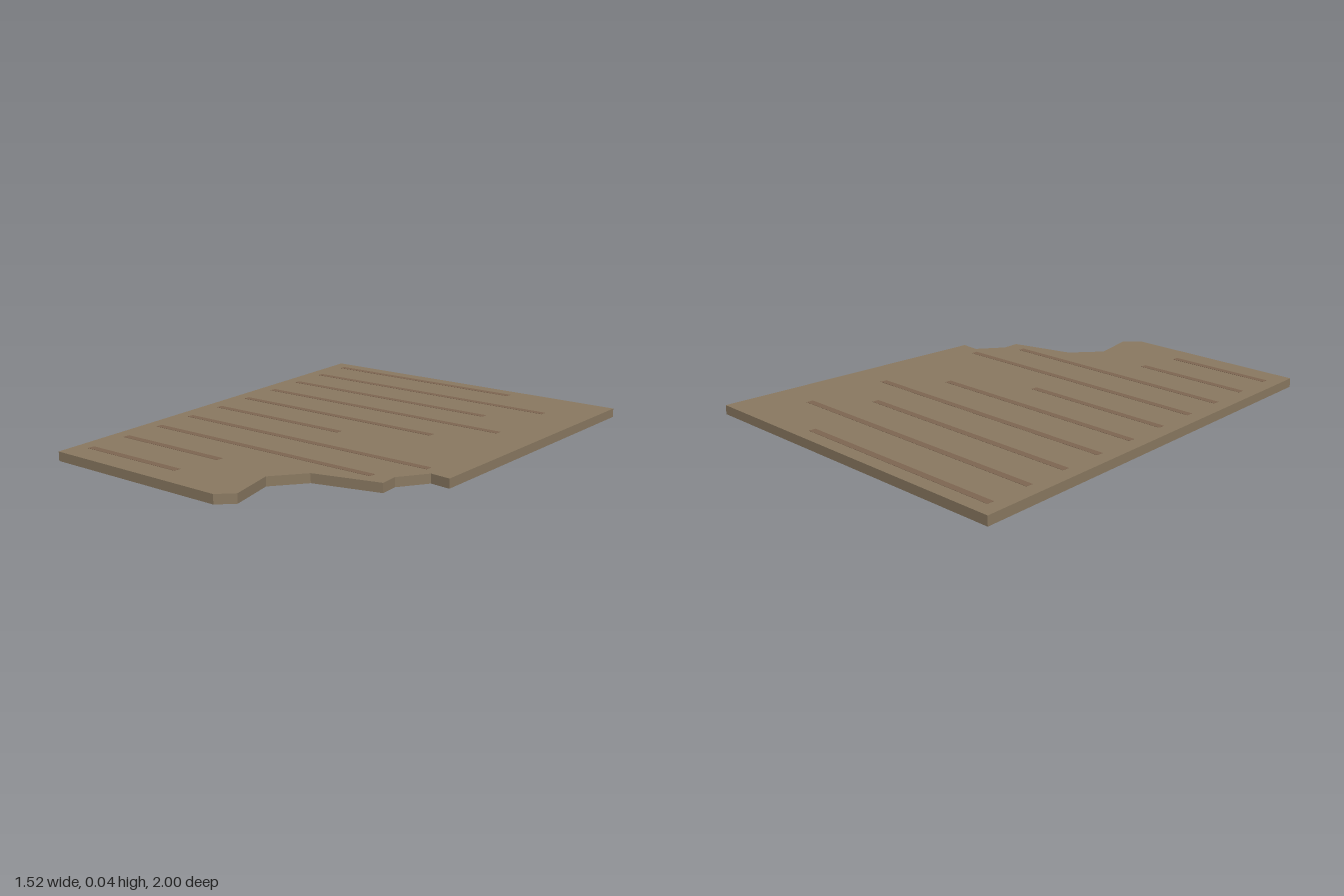
import * as THREE from 'three';

const HEIGHT = 0.04;
const PROUD = 0.001; // how far the lines stand out of each face

export function createModel() {
  const group = new THREE.Group();
  const sheetMaterial = new THREE.MeshStandardMaterial({ color: 0x8b7a62 });
  const lineMaterial = new THREE.MeshStandardMaterial({ color: 0x7f6752 });

  // Sheet outline as [x, z], with the torn front corner
  const outline = [
    [-0.762, -1], [0.76, -0.877], [0.656, 0.403], [0.571, 0.387],
    [0.485, 0.495], [0.485, 0.575], [0.206, 0.622], [0.095, 0.742],
    [0.131, 0.947], [0.067, 1], [-0.762, 0.928],
  ];
  const shape = new THREE.Shape(outline.map(([x, z]) => new THREE.Vector2(x, -z)));
  const sheetGeometry = new THREE.ExtrudeGeometry(shape, {
    depth: HEIGHT - 2 * PROUD,
    bevelEnabled: false,
  });
  sheetGeometry.rotateX(-Math.PI / 2);
  sheetGeometry.translate(0, PROUD, 0);
  const sheet = new THREE.Mesh(sheetGeometry, sheetMaterial);
  sheet.name = 'tornSheet';
  group.add(sheet);

  // Ruled lines of writing, showing on both faces and sloping with the sheet
  const lines = new THREE.Group();
  lines.name = 'writingLines';
  const startX = -0.7;
  const slope = 0.079;
  const lineEnds = [0.27, 0.543, 0.348, 0.522, 0.312, -0.025, 0.533, 0.406, -0.18, -0.222];
  lineEnds.forEach((endX, i) => {
    const run = endX - startX;
    const geometry = new THREE.BoxGeometry(run * Math.hypot(1, slope), HEIGHT, 0.03);
    const line = new THREE.Mesh(geometry, lineMaterial);
    line.name = `writingLine${i + 1}`;
    line.position.set(startX + run / 2, HEIGHT / 2, -0.918 + i * 0.193 + (slope * run) / 2);
    line.rotation.y = -Math.atan(slope);
    lines.add(line);
  });
  group.add(lines);

  return group;
}
